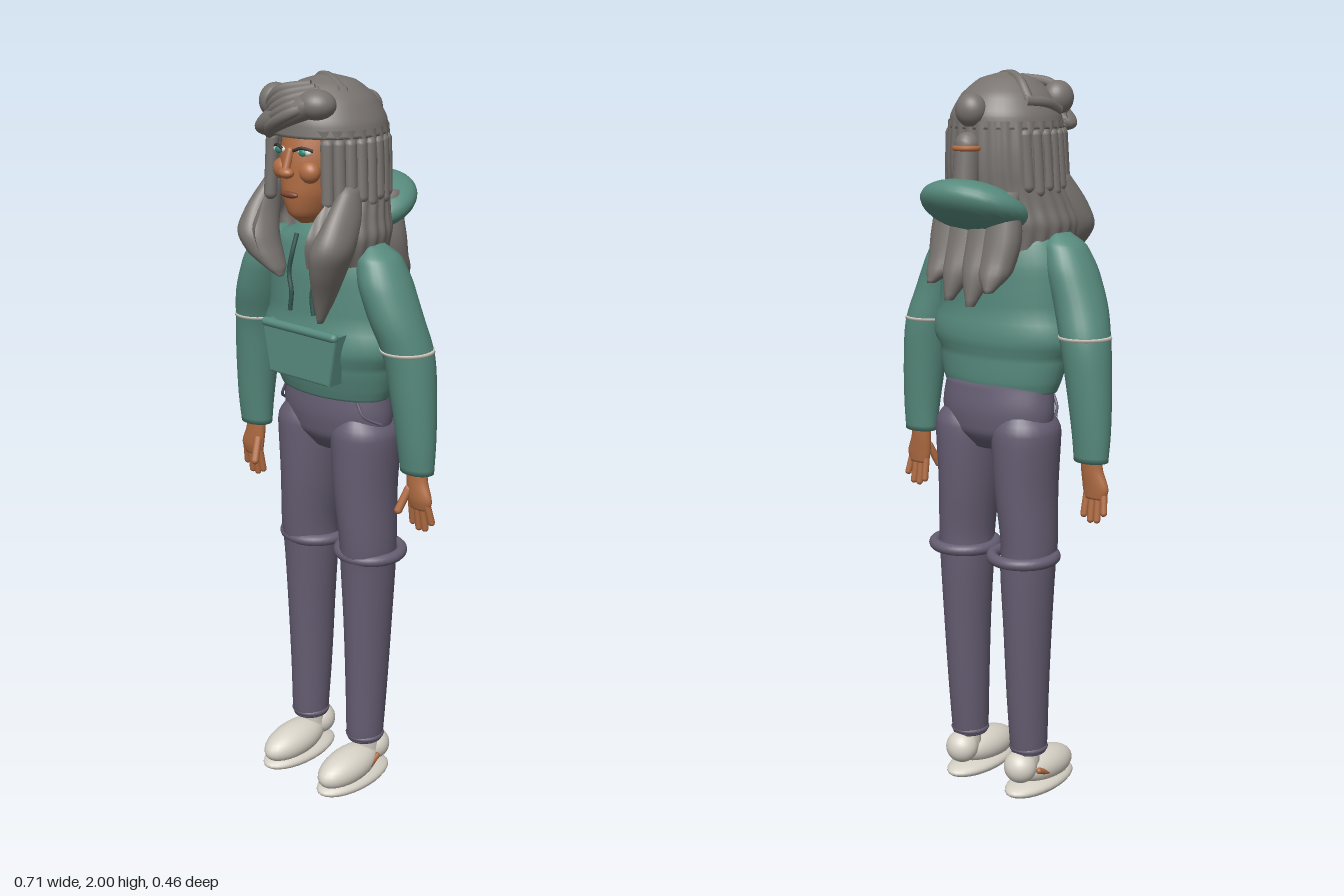
import * as THREE from 'three';

const mat = (name, color, side = THREE.FrontSide) => {
  const m = new THREE.MeshStandardMaterial({ color, side });
  m.name = name;
  return m;
};

export function createModel() {
  const root = new THREE.Group();
  root.name = 'hoodedFigure';
  const teal = mat('hoodie teal', 0x578a7d);
  const darkTeal = mat('cord dark teal', 0x34564f);
  const plum = mat('trouser plum', 0x655d72);
  const grey = mat('hair grey', 0x78736f, THREE.DoubleSide);
  const skin = mat('skin brown', 0xb06c43);
  const lip = mat('lip brown', 0x7d4630);
  const cream = mat('shoe cream', 0xd6d1c6);
  const eyeGreen = mat('eye green', 0x2f8a7c);
  const dark = mat('brow dark', 0x3c332f);

  const add = (name, geo, material) => {
    const m = new THREE.Mesh(geo, material);
    m.name = name;
    root.add(m);
    return m;
  };

  // Smooth stack of elliptical rings, listed from the top down: [x, y, z, rx, rz, frontGap]
  function loft(name, secs, material, { n = 28, sub = 5, ripple = 0, waves = 0 } = {}) {
    const open = secs[0].length > 5;
    const path = new THREE.CatmullRomCurve3(secs.map(s => new THREE.Vector3(s[0], s[1], s[2])));
    const size = new THREE.CatmullRomCurve3(secs.map(s => new THREE.Vector3(s[3], s[4], s[5] || 0)));
    const rows = (secs.length - 1) * sub;
    const cols = open ? n + 1 : n;
    const pos = [], idx = [];
    for (let i = 0; i <= rows; i++) {
      const p = path.getPoint(i / rows), r = size.getPoint(i / rows);
      for (let j = 0; j < cols; j++) {
        const a = r.z + (2 * Math.PI - 2 * r.z) * j / n;
        const k = 1 + ripple * Math.cos(a * waves);
        pos.push(p.x + r.x * k * Math.sin(a), p.y, p.z + r.y * k * Math.cos(a));
      }
    }
    for (let i = 0; i < rows; i++) for (let j = 0; j < n; j++) {
      const A = i * cols + j, B = i * cols + (j + 1) % cols, C = A + cols, D = B + cols;
      idx.push(A, C, D, A, D, B);
    }
    if (!open) {
      const top = pos.length / 3, last = rows * cols;
      const s = secs[0], e = secs[secs.length - 1];
      pos.push(s[0], s[1], s[2], e[0], e[1], e[2]);
      for (let j = 0; j < n; j++) {
        const k = (j + 1) % n;
        idx.push(top, j, k, top + 1, last + k, last + j);
      }
    }
    const g = new THREE.BufferGeometry();
    g.setAttribute('position', new THREE.Float32BufferAttribute(pos, 3));
    g.setIndex(idx);
    g.computeVertexNormals();
    return add(name, g, material);
  }

  const ball = (name, c, r, material, rot = [0, 0, 0]) => {
    const m = add(name, new THREE.SphereGeometry(1, 28, 18), material);
    m.position.set(...c);
    m.scale.set(...r);
    m.rotation.set(...rot);
    return m;
  };
  const capsule = (name, a, b, r, material) => {
    const p = new THREE.Vector3(...a), q = new THREE.Vector3(...b);
    const m = add(name, new THREE.CapsuleGeometry(r, p.distanceTo(q), 5, 12), material);
    m.position.copy(p).lerp(q, 0.5);
    m.quaternion.setFromUnitVectors(new THREE.Vector3(0, 1, 0), q.sub(p).normalize());
    return m;
  };
  const tube = (name, pts, r, material) => add(name, new THREE.TubeGeometry(
    new THREE.CatmullRomCurve3(pts.map(p => new THREE.Vector3(...p))), 30, r, 8), material);

  // Hoodie body and hem
  loft('hoodieBody', [[0, 1.635, .02, .07, .07], [0, 1.605, .02, .11, .09], [0, 1.575, .02, .17, .1],
    [0, 1.5, .02, .198, .11], [0, 1.38, .02, .203, .112], [0, 1.27, .02, .203, .112],
    [0, 1.2, .012, .187, .103], [0, 1.17, .01, .175, .095]], teal, { n: 40 });
  // Front pouch with a top lip
  const pouch = new THREE.Shape([[-.1, 1.23], [.105, 1.23], [.128, 1.355], [-.125, 1.355]].map(p => new THREE.Vector2(...p)));
  const pouchMesh = add('frontPouch', new THREE.ExtrudeGeometry(pouch, {
    depth: .05, bevelThickness: .008, bevelSize: .006, bevelSegments: 3 }), teal);
  pouchMesh.position.z = .095;
  capsule('pouchLip', [-.12, 1.357, .147], [.123, 1.357, .147], .012, teal);
  // Hood lying on the back
  ball('hood', [0, 1.655, -.1], [.15, .062, .138], teal, [.4, 0, 0]);

  // Trousers seat
  loft('trouserSeat', [[0, 1.19, 0, .168, .09], [0, 1.12, -.003, .176, .1], [0, 1.06, -.005, .165, .094],
    [0, 1.01, -.005, .08, .06]], plum, { n: 40 });

  for (const s of [1, -1]) {
    const side = s > 0 ? 'left' : 'right';
    // Legs, cuffs and knee rings
    loft(side + 'Leg', [[.098 * s, 1.125, 0, .05, .07], [.098 * s, 1.06, -.005, .091, .1],
      [.1 * s, .9, -.005, .08, .096], [.11 * s, .75, -.005, .073, .086], [.108 * s, .68, -.008, .072, .082],
      [.108 * s, .5, -.008, .063, .073], [.107 * s, .3, -.005, .056, .063], [.107 * s, .16, 0, .051, .055],
      [.107 * s, .137, 0, .048, .051]], plum);
    const knee = add(side + 'KneeRing', new THREE.TorusGeometry(.086, .016, 12, 36), plum);
    knee.rotation.x = Math.PI / 2;
    knee.position.set(.103 * s, .715, -.022);
    const cuff = add(side + 'Cuff', new THREE.TorusGeometry(.047, .008, 8, 28), plum);
    cuff.rotation.x = Math.PI / 2;
    cuff.position.set(.107 * s, .15, 0);
    tube(side + 'HipSeam', [[.13 * s, 1.165, .065], [.15 * s, 1.13, .06], [.176 * s, 1.105, .022]], .004, plum);

    // Shoes
    ball(side + 'Sole', [.107 * s, .028, .05], [.064, .028, .136], cream);
    ball(side + 'ShoeUpper', [.107 * s, .072, .07], [.057, .05, .113], cream, [.08, 0, 0]);
    ball(side + 'Heel', [.107 * s, .098, -.037], [.047, .046, .046], cream);
    capsule(side + 'Ankle', [.107 * s, .09, -.01], [.107 * s, .14, -.005], .036, cream);
    capsule(side + 'FootOpening', [.151 * s, .068, .035], [.149 * s, .085, -.005], .009, skin);

    // Sleeves and elbow bands
    loft(side + 'Sleeve', [[.17 * s, 1.592, .045, .02, .03], [.185 * s, 1.56, .045, .052, .062],
      [.21 * s, 1.49, .045, .066, .077], [.24 * s, 1.41, .04, .068, .075], [.268 * s, 1.32, .024, .066, .069],
      [.285 * s, 1.2, .02, .061, .058], [.295 * s, 1.08, .018, .054, .046], [.297 * s, 1.005, .016, .049, .037]], teal);
    loft(side + 'ElbowBand', [[.265 * s, 1.334, .026, .069, .072], [.267 * s, 1.326, .025, .069, .071]], cream, { sub: 1 });

    // Hands
    loft(side + 'Palm', [[.297 * s, 1.02, .016, .03, .02], [.3 * s, .98, .018, .033, .02],
      [.31 * s, .935, .02, .04, .018], [.31 * s, .905, .018, .032, .013]], skin, { n: 18 });
    for (let i = 0; i < 4; i++) {
      const x = .283 + i * .018;
      capsule(side + 'Finger' + (i + 1), [x * s, .92, .02], [(x - .002 + i * .003) * s, [.86, .848, .85, .872][i], .01], .0095, skin);
    }
    capsule(side + 'Thumb', [.28 * s, .955, .03], [.268 * s, .9, .055], .011, skin);

    // Drawstring
    tube(side + 'Drawstring', [[.035, 1.6, .115], [.038, 1.55, .13], [.046, 1.5, .134], [.036, 1.45, .136], [.042, 1.4, .136]]
      .map(p => [p[0] * s, p[1], p[2]]), .006, darkTeal);
    // Eyes and brows
    ball(side + 'EyeWhite', [.042 * s, 1.82, .165], [.022, .009, .008], cream);
    ball(side + 'Iris', [.041 * s, 1.82, .171], [.012, .009, .006], eyeGreen);
    tube(side + 'Lash', [[.018 * s, 1.824, .18], [.042 * s, 1.832, .174], [.066 * s, 1.825, .158]], .004, dark);
    ball(side + 'Cheek', [.045 * s, 1.77, .15], [.03, .028, .025], skin);
  }

  // Head and face
  loft('head', [[0, 1.94, .05, .03, .04], [0, 1.9, .05, .082, .1], [0, 1.8, .058, .092, .118],
    [0, 1.72, .068, .08, .112], [0, 1.66, .085, .05, .082], [0, 1.635, .09, .022, .045]], skin);
  capsule('neck', [0, 1.6, .03], [0, 1.7, .04], .052, skin);
  capsule('noseBridge', [0, 1.82, .172], [0, 1.775, .188], .01, skin);
  ball('noseTip', [0, 1.768, .187], [.022, .014, .017], skin);
  ball('mouth', [0, 1.713, .177], [.03, .009, .01], lip);

  // Hair crown and curtain, open at the face
  loft('hairCrown', [[0, 1.995, .035, .02, .02], [0, 1.98, .035, .07, .075], [0, 1.94, .033, .115, .125],
    [0, 1.89, .03, .142, .15], [0, 1.855, .03, .15, .153]], grey, { n: 48 });
  loft('hairCurtain', [[0, 1.875, .03, .147, .153, .55], [0, 1.8, .025, .155, .15, .7], [0, 1.72, .03, .158, .15, .72],
    [0, 1.66, .05, .172, .165, .58], [0, 1.6, .06, .182, .175, .5], [0, 1.54, .055, .165, .165, .5]],
    grey, { n: 168, ripple: .012, waves: 28 });
  // Long front locks
  loft('leftFrontLock', [[.13, 1.74, .09, .02, .03], [.14, 1.66, .13, .035, .06], [.132, 1.59, .16, .05, .066],
    [.117, 1.53, .16, .04, .055], [.095, 1.46, .15, .026, .035], [.08, 1.39, .15, .006, .01]], grey);
  loft('rightFrontLock', [[-.13, 1.74, .09, .02, .03], [-.14, 1.66, .13, .035, .055], [-.134, 1.6, .155, .048, .06],
    [-.11, 1.55, .155, .042, .05], [-.075, 1.51, .15, .02, .03], [-.06, 1.49, .15, .005, .01]], grey);
  // Ragged locks below the hood
  [[-.09, 1.45], [-.035, 1.41], [.03, 1.42], [.085, 1.46]].forEach(([x, y], i) =>
    loft('backLock' + (i + 1), [[x, 1.7, -.09, .04, .03], [x, 1.58, -.1, .055, .045],
      [x, 1.5, -.125, .045, .045], [x * 1.1, y, -.165, .01, .014]], grey, { n: 18 }));
  // Rounded side strands
  for (const s of [1, -1]) for (let i = 0; i < 8; i++) {
    const a = .72 + i * .2, x = Math.sin(a) * .146 * s, z = .03 + Math.cos(a) * .145;
    capsule('sideStrand', [x * .98, 1.84, z], [x * 1.04, 1.7 + (i % 2) * .012, z + .004], .017, grey);
  }
  // Swept fringe
  ball('fringe', [-.02, 1.905, .147], [.125, .04, .055], grey, [0, 0, .38]);
  for (let i = 0; i < 5; i++) {
    const d = i * .014;
    tube('fringeStrand', [[.085 - d, 1.95 + d * .5, .125], [.02 - d, 1.915 + d * .9, .196 - d * .5],
      [-.06 - d * .4, 1.875 + d, .183 - d * .5], [-.118, 1.835 + d, .115]], .014, grey);
  }
  ball('fringeCurl', [-.1, 1.93, .12], [.04, .045, .045], grey);
  ball('fringeLift', [.06, 1.935, .14], [.05, .038, .045], grey, [0, .4, 0]);
  // Ridges across the crown
  tube('crownBraid', [[-.115, 1.925, -.02], [-.06, 1.978, .005], [.01, 1.988, .04], [.085, 1.963, .07]], .013, grey);
  tube('crownBraidSide', [[-.11, 1.925, -.03], [-.13, 1.92, .03], [-.125, 1.9, .09]], .014, grey);
  // Bun and tied tail
  ball('bun', [0, 1.902, -.113], [.042, .043, .038], grey);
  capsule('bunRoot', [0, 1.88, -.08], [0, 1.9, -.11], .025, grey);
  capsule('tail', [0, 1.815, -.128], [0, 1.68, -.14], .034, grey);
  const band = add('tailBand', new THREE.TorusGeometry(.033, .007, 8, 28), skin);
  band.rotation.x = Math.PI / 2;
  band.position.set(0, 1.808, -.128);

  return root;
}
